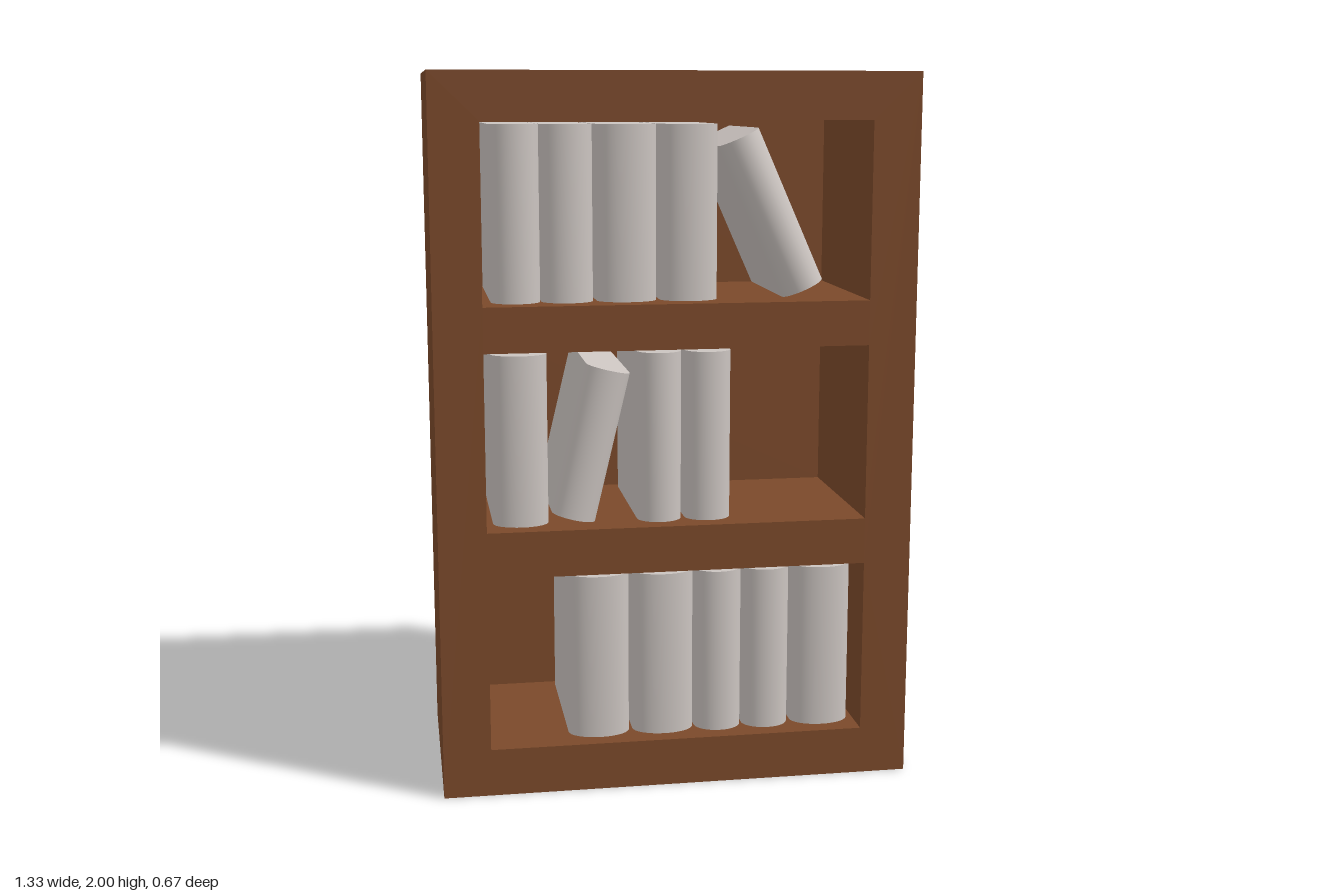
import * as THREE from 'three';
import { toCreasedNormals } from 'three/addons/utils/BufferGeometryUtils.js';

const W = 1.333, H = 2, D = 0.667, FRONT = D / 2;
const HOLE = 0.533;                       // half width of each opening
const RECESS_BACK = -0.2, BOOK_BACK = -0.165, SHOULDER = 0.235, BULGE = 0.055;

// Upright books are [left, right]; leaning ones give centre, width, height and angle
const shelves = [
  { y0: 0.135, y1: 0.63, top: 0.61,
    books: [[-0.305, -0.13], [-0.12, 0.055], [0.06, 0.195], [0.2, 0.335], [0.345, 0.515]] },
  { y0: 0.76, y1: 1.255, top: 1.24,
    books: [[-0.51, -0.355], [-0.105, 0.02], [0.03, 0.16]],
    leaning: { x: -0.235, y: 0.985, w: 0.125, h: 0.43, angle: -13.5 } },
  { y0: 1.38, y1: 1.87, top: 1.86,
    books: [[-0.505, -0.37], [-0.367, -0.225], [-0.215, -0.05], [-0.04, 0.12]],
    leaning: { x: 0.27, y: 1.616, w: 0.123, h: 0.455, angle: 24 } },
];

// Box with some sides left out (order: +x, -x, +y, -y, +z, -z)
function openBox(w, h, d, skip) {
  const g = new THREE.BoxGeometry(w, h, d);
  const index = Array.from(g.index.array).filter((_, i) => !skip.includes(Math.floor(i / 6)));
  g.setIndex(index);
  g.clearGroups();
  return g;
}

// Book centred on its height, with a rounded spine facing +z
function bookGeometry(w, h) {
  const s = new THREE.Shape();
  s.moveTo(w / 2, -BOOK_BACK);
  s.lineTo(-w / 2, -BOOK_BACK);
  const steps = 16;
  for (let i = 0; i <= steps; i++) {
    const a = Math.PI * (1 + i / steps);
    s.lineTo(Math.cos(a) * w / 2, -SHOULDER + Math.sin(a) * BULGE);
  }
  s.closePath();
  const g = new THREE.ExtrudeGeometry(s, { depth: h, bevelEnabled: false });
  g.rotateX(-Math.PI / 2).translate(0, -h / 2, 0);
  return toCreasedNormals(g, 0.7);
}

export function createModel() {
  const wood = new THREE.MeshStandardMaterial({ color: 0x7b492a, side: THREE.DoubleSide });
  wood.name = 'brown wood';
  const cover = new THREE.MeshStandardMaterial({ color: 0xcbc4c0 });
  cover.name = 'pale grey covers';

  const model = new THREE.Group();
  model.name = 'bookcase';
  const add = (name, geometry, material, x, y, z) => {
    const mesh = new THREE.Mesh(geometry, material);
    mesh.name = name;
    mesh.position.set(x, y, z);
    model.add(mesh);
    return mesh;
  };

  // Hollow case, open underneath
  add('caseShell', openBox(W, H, D, [3, 4]), wood, 0, H / 2, 0);

  // Front frame with three openings
  const frame = new THREE.Shape();
  frame.moveTo(-W / 2, 0).lineTo(W / 2, 0).lineTo(W / 2, H).lineTo(-W / 2, H).closePath();
  for (const { y0, y1 } of shelves) {
    const hole = new THREE.Path();
    hole.moveTo(-HOLE, y0).lineTo(-HOLE, y1).lineTo(HOLE, y1).lineTo(HOLE, y0).closePath();
    frame.holes.push(hole);
  }
  add('frontFrame', new THREE.ShapeGeometry(frame), wood, 0, 0, FRONT);

  for (const { y0, y1, top, books, leaning } of shelves) {
    // Compartment lining
    const depth = FRONT - RECESS_BACK;
    add('compartment', openBox(2 * HOLE, y1 - y0, depth, [4]), wood,
      0, (y0 + y1) / 2, FRONT - depth / 2);

    // Upright and leaning books
    const bottom = y0 + 0.002;
    for (const [l, r] of books) {
      add('book', bookGeometry(r - l, top - bottom), cover, (l + r) / 2, (top + bottom) / 2, 0);
    }
    if (leaning) {
      const { x, y, w, h, angle } = leaning;
      add('leaningBook', bookGeometry(w, h), cover, x, y, 0)
        .rotation.z = THREE.MathUtils.degToRad(angle);
    }
  }
  return model;
}
